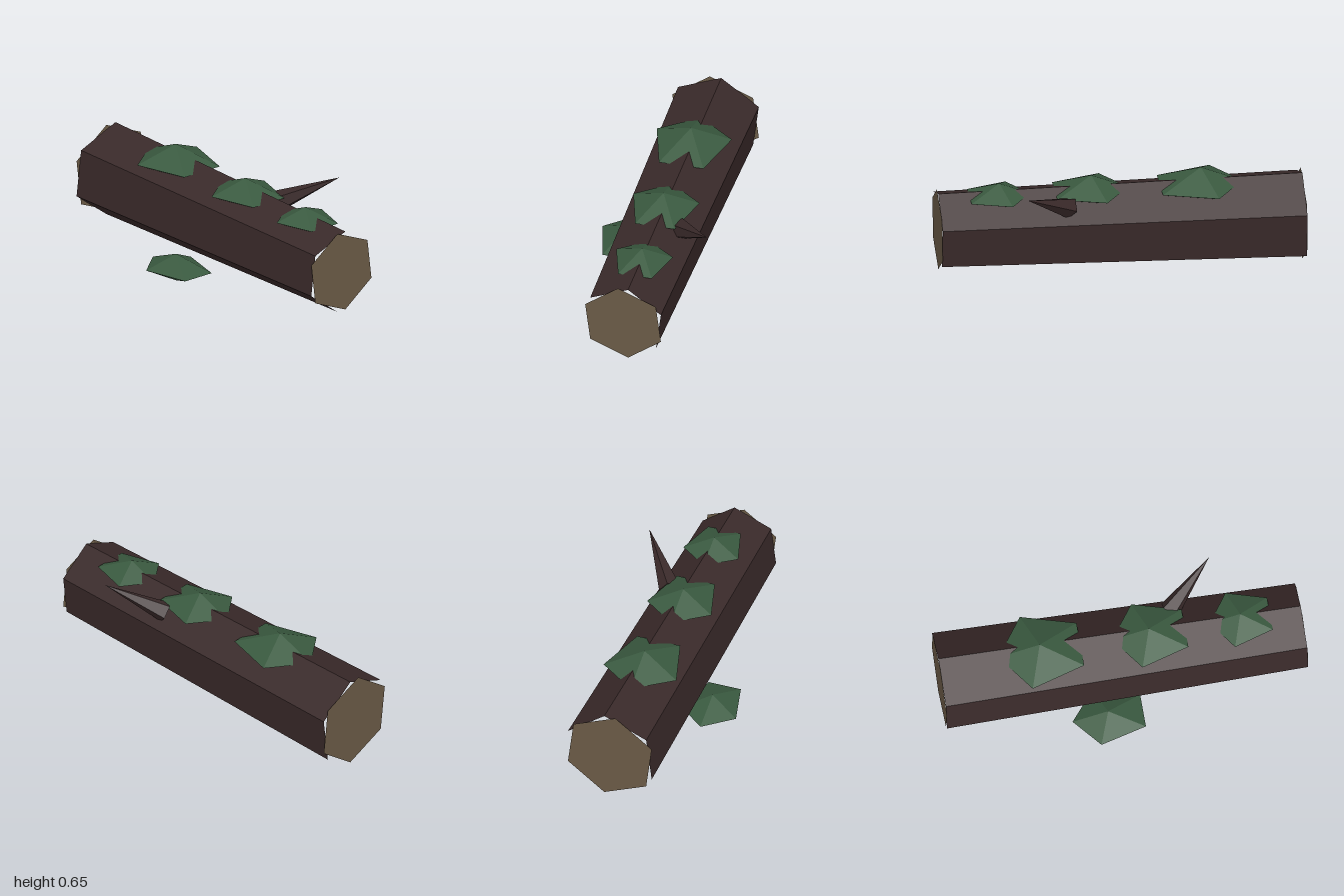
import * as THREE from 'three';

const deg = THREE.MathUtils.degToRad;

// Faceted copy of a geometry
function facet(geo) {
  const g = geo.index ? geo.toNonIndexed() : geo;
  g.computeVertexNormals();
  return g;
}

// Five-sided double pyramid, slightly irregular
function mossGeometry(rx, h, rz) {
  const ring = [[1, -0.55], [1, 0.55], [-0.33, 0.93], [-1.02, 0], [-0.33, -0.93]];
  const v = [];
  ring.forEach(([x, z], i) => {
    const [nx, nz] = ring[(i + 1) % ring.length];
    const p = [x * rx, 0, z * rz];
    const q = [nx * rx, 0, nz * rz];
    v.push(0, h, 0, ...q, ...p, 0, -h, 0, ...p, ...q);
  });
  const g = new THREE.BufferGeometry();
  g.setAttribute('position', new THREE.Float32BufferAttribute(v, 3));
  return facet(g);
}

export function createModel() {
  const model = new THREE.Group();
  model.name = 'fallenLog';

  const bark = new THREE.MeshStandardMaterial({ color: 0x3a2a2a });
  bark.name = 'dark bark';
  const wood = new THREE.MeshStandardMaterial({ color: 0x6b5b47, side: THREE.DoubleSide });
  wood.name = 'cut wood';
  const moss = new THREE.MeshStandardMaterial({ color: 0x3a5a40 });
  moss.name = 'moss green';

  const add = (name, geo, mat) => {
    const m = new THREE.Mesh(geo, mat);
    m.name = name;
    model.add(m);
    return m;
  };

  // Tapered hexagonal trunk lying along x, its axis slightly tilted
  const rBig = 0.264, rSmall = 0.231;
  const axisY = x => 0.323 + 0.011 * x;
  const axisZ = x => -0.038 + 0.012 * x;
  const trunk = new THREE.CylinderGeometry(rSmall, rBig, 2, 6, 1, true, deg(-97));
  trunk.rotateZ(-Math.PI / 2);
  const pos = trunk.attributes.position;
  for (let i = 0; i < pos.count; i++) {
    const x = pos.getX(i);
    pos.setXYZ(i, x, pos.getY(i) + axisY(x), pos.getZ(i) + axisZ(x));
  }
  add('trunk', facet(trunk), bark);

  // Cut ends, turned a little against the trunk's corners
  for (const [name, side, r, start] of [['leftCutEnd', 1, rSmall, 97], ['rightCutEnd', -1, rBig, 83]]) {
    const cap = add(name, new THREE.CircleGeometry(r, 6, deg(start)), wood);
    cap.rotation.y = side * Math.PI / 2;
    cap.position.set(side, axisY(side), axisZ(side));
  }

  // Pointed broken branch
  const base = new THREE.Vector3(0.295, 0.493, -0.175);
  const tip = new THREE.Vector3(0.55, 0.655, -0.385);
  const axis = tip.clone().sub(base);
  const branch = add('branch', facet(new THREE.ConeGeometry(0.06, axis.length(), 5)), bark);
  branch.position.copy(base).add(tip).multiplyScalar(0.5);
  branch.quaternion.setFromUnitVectors(new THREE.Vector3(0, 1, 0), axis.normalize());

  // Moss clumps: three along the top, one on the ground in front
  const clumps = [
    ['mossLarge', -0.445, 0.533, -0.05, 0.225, 0.095, 0.227],
    ['mossMedium', 0.158, 0.533, -0.045, 0.2, 0.084, 0.2],
    ['mossSmall', 0.664, 0.533, -0.05, 0.165, 0.07, 0.171],
    ['mossGround', -0.113, 0.078, 0.224, 0.193, 0.078, 0.17],
  ];
  for (const [name, x, y, z, rx, h, rz] of clumps) {
    add(name, mossGeometry(rx, h, rz), moss).position.set(x, y, z);
  }
  return model;
}
